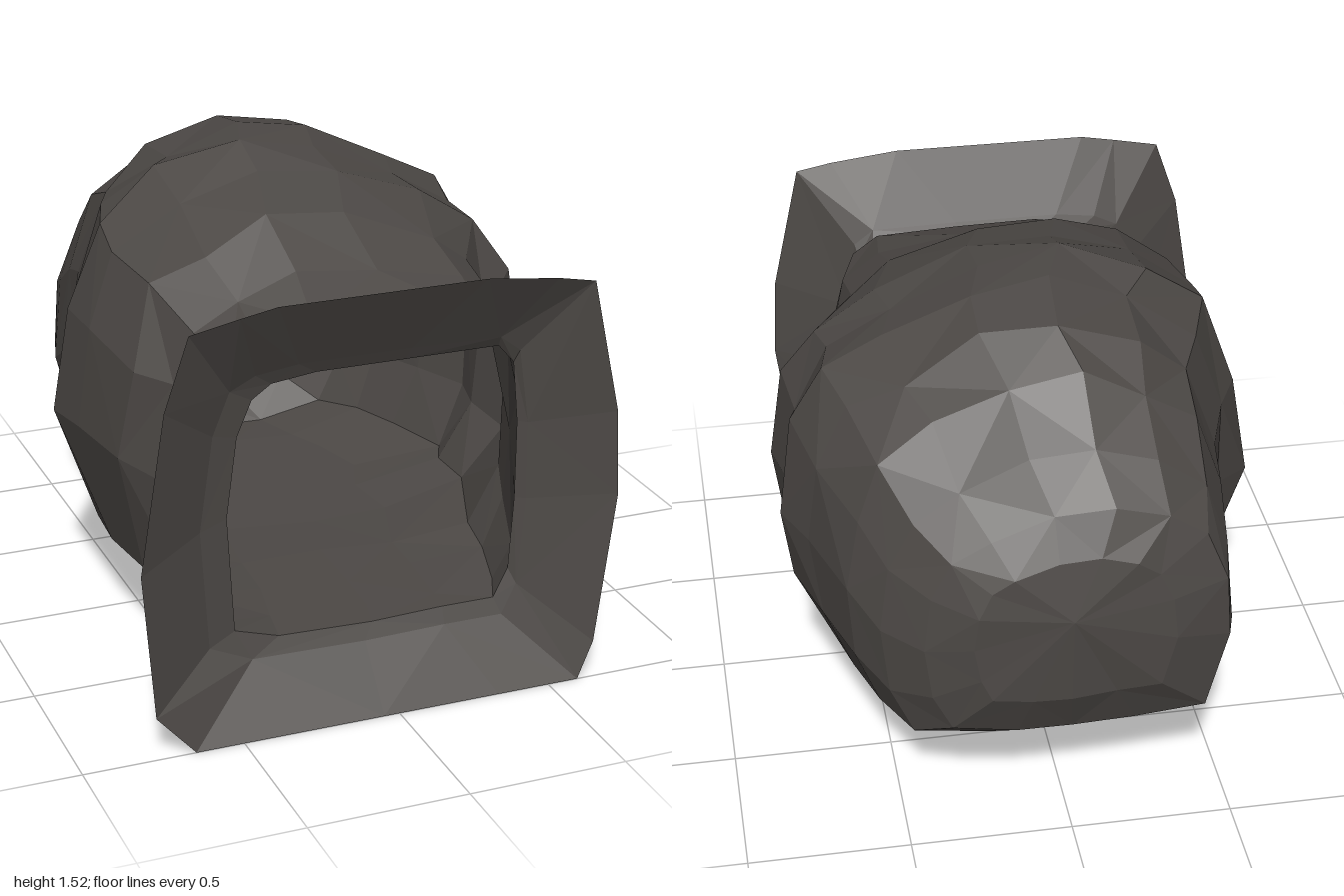
import * as THREE from 'three';

// Outlines in unit space (u: -1..1 across, v: 0..1 up), 16 points each, same order
const rim = [[-.95, .1], [-.79, 0], [0, 0], [.5, 0], [.855, 0], [.92, .09], [1, .45], [.98, .65],
  [.855, .963], [.7, .98], [.4, 1], [-.45, 1], [-.6, .985], [-.8, .963], [-.9, .8], [-1, .44]];
const neck = [[-.95, .06], [-.65, .01], [0, 0], [.5, .01], [.87, .01], [.97, .12], [1, .4], [1, .7],
  [.96, .93], [.85, 1], [.2, 1], [-.4, 1], [-.7, .98], [-.83, .93], [-.93, .8], [-1, .5]];
const dome = [[-.84, .03], [-.35, 0], [.05, 0], [.4, 0], [.82, .04], [.95, .2], [1, .42], [.94, .64],
  [.8, .79], [.54, .88], [.16, .98], [-.2, 1], [-.55, .94], [-.82, .83], [-.96, .62], [-1, .35]];

// Section at z, fitted to its left, right, bottom and top; t blends outline a into b
function section(z, x0, x1, y0, y1, a, b = a, t = 0) {
  return a.map(([u, v], i) => {
    const s = THREE.MathUtils.lerp(u, b[i][0], t), h = THREE.MathUtils.lerp(v, b[i][1], t);
    return [(x0 + x1) / 2 + s * (x1 - x0) / 2, y0 + h * (y1 - y0), z];
  });
}

// Seeded noise for the uneven rock facets
let seed = 7;
const rand = () => (seed = (seed * 16807) % 2147483647) / 2147483647 - 0.5;
function roughen(ring, amount) {
  return ring.map(([x, y, z], i) => {
    const floor = i < 5;
    return [x + rand() * amount * 0.4, y + (floor ? 0 : rand() * amount * 0.4), z + rand() * amount];
  });
}

// Faceted skin over a list of sections, optionally closed at the end point
function loft(rings, tip) {
  const pos = [];
  const tri = (...p) => p.forEach(q => pos.push(...q));
  const n = rings[0].length;
  for (let r = 0; r < rings.length - 1; r++) {
    for (let i = 0; i < n; i++) {
      const j = (i + 1) % n;
      const a = rings[r][i], b = rings[r][j], c = rings[r + 1][j], d = rings[r + 1][i];
      if ((i + r) % 2) { tri(a, d, b); tri(b, d, c); } else { tri(a, d, c); tri(a, c, b); }
    }
  }
  if (tip) {
    const last = rings[rings.length - 1];
    for (let i = 0; i < n; i++) tri(last[i], tip, last[(i + 1) % n]);
  }
  const g = new THREE.BufferGeometry();
  g.setAttribute('position', new THREE.Float32BufferAttribute(pos, 3));
  g.computeVertexNormals();
  return g;
}

export function createModel() {
  const group = new THREE.Group();
  group.name = 'cave';
  const rock = new THREE.MeshStandardMaterial({ color: 0x4d4946, flatShading: true, side: THREE.DoubleSide });
  rock.name = 'dark rock';
  const add = (name, geometry) => {
    const mesh = new THREE.Mesh(geometry, rock);
    mesh.name = name;
    group.add(mesh);
  };

  // Flared mouth narrowing to the neck
  const throat = section(0.86, -0.5, 0.43, 0.25, 1.09, neck);
  add('entranceFlare', loft([
    section(1, -0.81, 0.71, 0, 1.36, rim),
    section(0.88, -0.59, 0.46, 0.2, 1.13, rim, neck, 0.7),
    throat,
  ]));

  // Hollow chamber: z, left, right, bottom, top, roundness
  const chamber = [
    [0.75, -0.52, 0.48, 0.25, 1.18, 0.25],
    [0.55, -0.58, 0.57, 0.25, 1.27, 0.6],
    [0.37, -0.67, 0.62, 0.25, 1.39, 0.85],
    [0.1, -0.72, 0.78, 0.24, 1.47, 1],
    [-0.08, -0.72, 0.76, 0.24, 1.51, 1],
    [-0.24, -0.63, 0.80, 0.24, 1.52, 1],
    [-0.45, -0.57, 0.72, 0.24, 1.47, 1],
    [-0.62, -0.55, 0.64, 0.24, 1.39, 1],
    [-0.78, -0.53, 0.55, 0.23, 1.24, 1],
    [-0.89, -0.50, 0.43, 0.32, 1.1, 0.9],
    [-0.965, -0.32, 0.29, 0.48, 0.97, 0.8],
  ].map(([z, x0, x1, y0, y1, t], i) =>
    roughen(section(z, x0, x1, y0, y1, neck, dome, t), i < 8 ? 0.08 : 0.02));
  add('chamber', loft([throat, ...chamber], [0, 0.78, -1]));
  return group;
}
